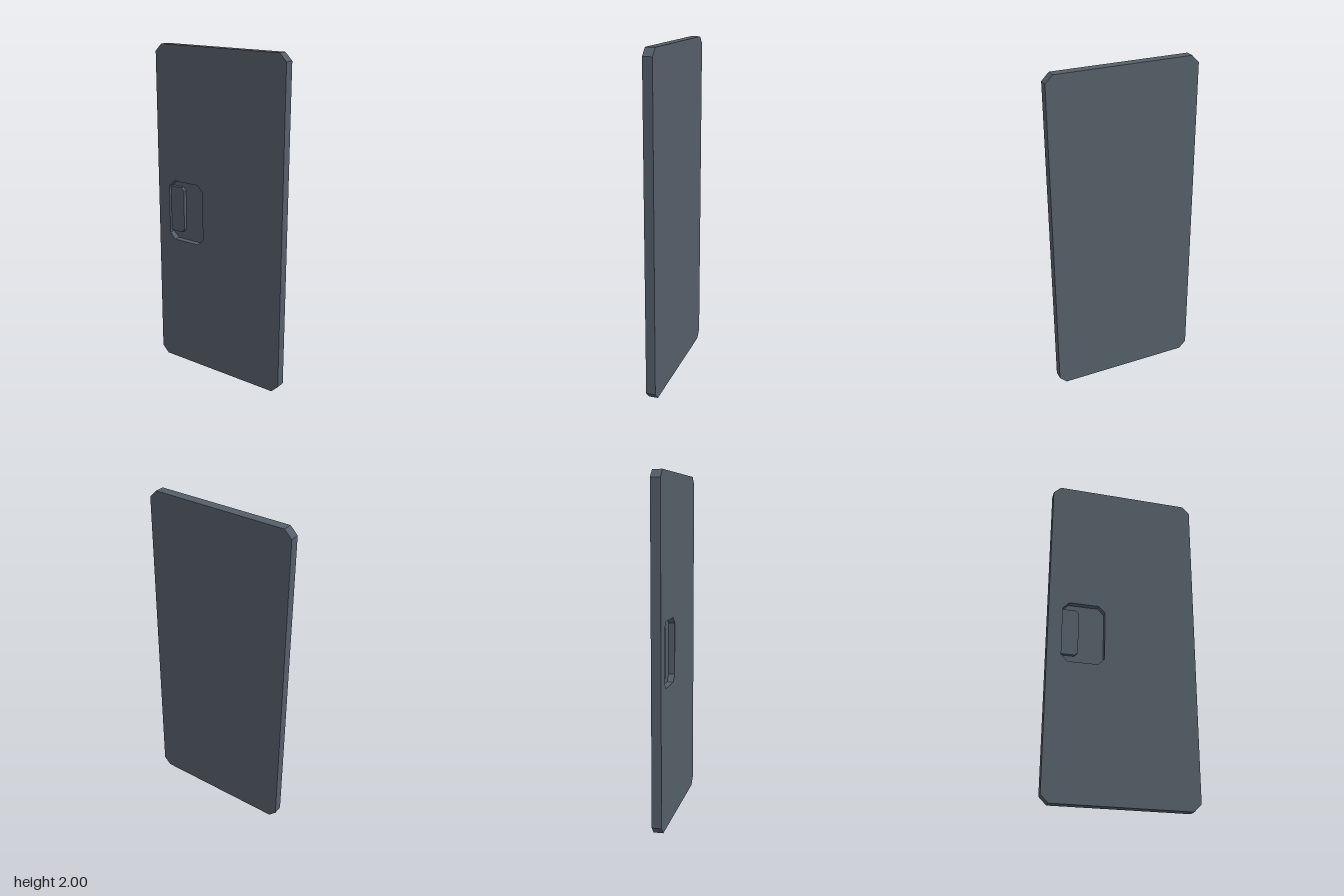
import * as THREE from 'three';

// Rectangle with cut corners; leftCut and rightCut set the corner cuts per side
function cutRect(x0, x1, y0, y1, leftCut, rightCut = leftCut) {
  const points = [[x0 + leftCut, y0], [x1 - rightCut, y0], [x1, y0 + rightCut], [x1, y1 - rightCut],
    [x1 - rightCut, y1], [x0 + leftCut, y1]];
  if (leftCut > 0) points.push([x0, y1 - leftCut], [x0, y0 + leftCut]);
  return points.map(([x, y]) => new THREE.Vector2(x, y));
}

export function createModel() {
  const door = new THREE.Group();
  door.name = 'slidingDoor';
  const slate = new THREE.MeshStandardMaterial({ color: 0x555e68, flatShading: true });
  slate.name = 'slateGrey';

  const front = 0.028, back = -0.028, floor = -0.009, gripFront = 0.013;
  const outline = cutRect(-0.449, 0.449, 0, 2, 0.044);
  const recess = cutRect(-0.365, -0.11, 0.815, 1.19, 0.038);

  function slab(name, shape, z0, z1) {
    const geometry = new THREE.ExtrudeGeometry(shape, { depth: z1 - z0, bevelEnabled: false });
    geometry.translate(0, 0, z0);
    const mesh = new THREE.Mesh(geometry, slate);
    mesh.name = name;
    door.add(mesh);
  }

  // Front layer with the hand recess cut through it
  const frontShape = new THREE.Shape(outline);
  frontShape.holes.push(new THREE.Path(recess));
  slab('doorFront', frontShape, floor, front);

  // Solid back layer, forming the recess floor
  slab('doorBack', new THREE.Shape(outline), back, floor);

  // Grip standing in the recess, against its outer wall
  slab('grip', new THREE.Shape(cutRect(-0.365, -0.265, 0.865, 1.15, 0, 0.018)), floor, gripFront);

  return door;
}
